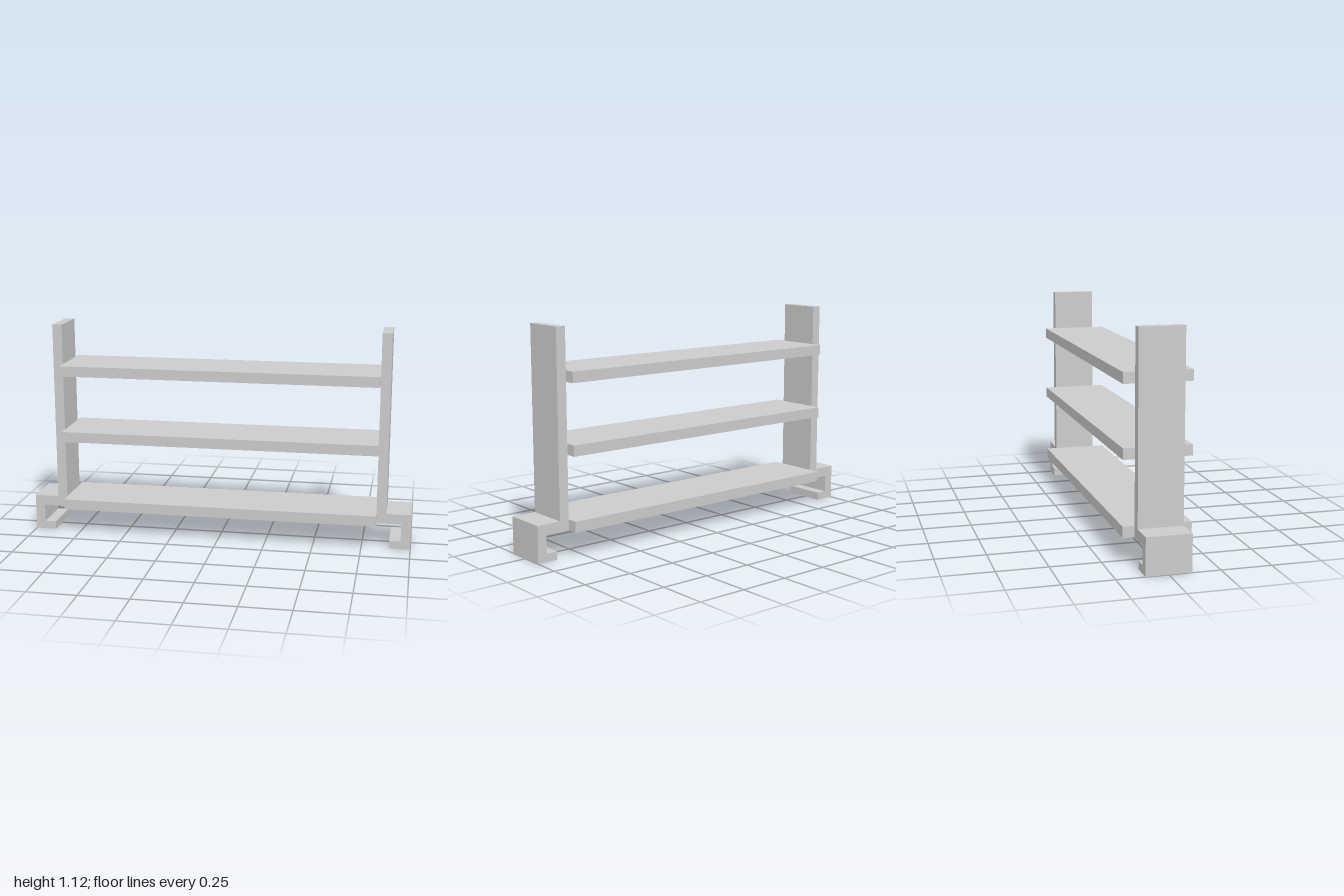
import * as THREE from 'three';

const material = new THREE.MeshStandardMaterial({ color: 0xcccccc });

const SHELF_HALF = 0.823; // inner face of the uprights
const POST_DEPTH = 0.222;

// Upright and hooked foot as one continuous profile (x, y), for the +x side
const bracketProfile = [
  [SHELF_HALF, 0.133], [0.95, 0.133], [0.95, 0.042], [0.893, 0.042],
  [0.893, 0], [1, 0], [1, 0.186], [0.873, 0.186],
  [0.873, 1.115], [SHELF_HALF, 1.115],
];

function makeBracket(side) {
  const shape = new THREE.Shape(bracketProfile.map(([x, y]) => new THREE.Vector2(side * x, y)));
  const geometry = new THREE.ExtrudeGeometry(shape, { depth: POST_DEPTH, bevelEnabled: false });
  geometry.translate(0, 0, -POST_DEPTH / 2);
  const mesh = new THREE.Mesh(geometry, material);
  mesh.name = side > 0 ? 'leftHookedUpright' : 'rightHookedUpright';
  return mesh;
}

export function createModel() {
  const group = new THREE.Group();
  group.name = 'shelfRack';

  // Uprights with hooked feet, mirrored
  for (const side of [-1, 1]) group.add(makeBracket(side));

  // Three shelf boards, deeper than the uprights
  const board = new THREE.BoxGeometry(SHELF_HALF * 2, 0.054, 0.336);
  [['bottomShelf', 0.16], ['middleShelf', 0.53], ['topShelf', 0.88]].forEach(([name, y]) => {
    const shelf = new THREE.Mesh(board, material);
    shelf.name = name;
    shelf.position.y = y;
    group.add(shelf);
  });

  return group;
}
